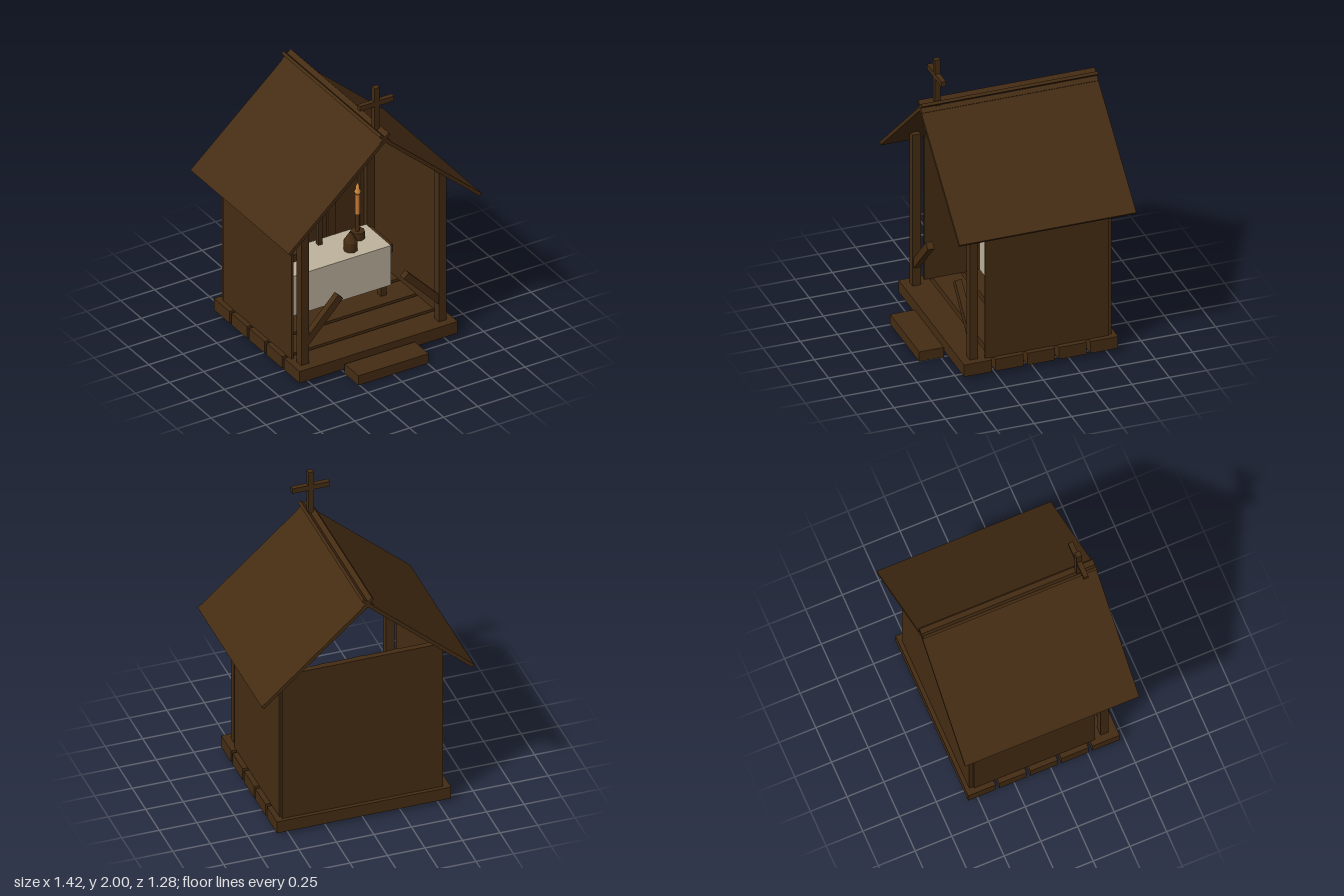
import * as THREE from 'three';

export function createModel() {
  const root = new THREE.Group();
  const mat = (name, color, extra = {}) => {
    const m = new THREE.MeshStandardMaterial({ color, ...extra });
    m.name = name;
    return m;
  };
  const wood = mat('dark wood', 0x452c13);
  const linen = mat('linen', 0xbfb39d);
  const wax = mat('candle wax', 0xc47a36);
  const flame = mat('flame', 0xd08a3c);

  const add = (name, geo, material, x = 0, y = 0, z = 0, parent = root) => {
    const m = new THREE.Mesh(geo, material);
    m.name = name;
    m.position.set(x, y, z);
    parent.add(m);
    return m;
  };
  // Box given by its minimum and maximum on each axis
  const box = (name, x0, x1, y0, y1, z0, z1, material = wood, parent = root) =>
    add(name, new THREE.BoxGeometry(x1 - x0, y1 - y0, z1 - z0), material,
      (x0 + x1) / 2, (y0 + y1) / 2, (z0 + z1) / 2, parent);

  // Floor planks and entrance step
  for (let i = 0; i < 5; i++) {
    const z = 0.373 - i * 0.2115;
    box('floorPlank', -0.58, 0.58, 0.025, 0.11, z - 0.093, z + 0.093);
  }
  box('step', -0.257, 0.257, 0, 0.07, 0.48, 0.645);

  // Back wall with its inner frame
  box('backWall', -0.535, 0.535, 0.105, 1.19, -0.54, -0.51);
  for (const x of [-0.24, 0, 0.24]) box('backStud', x - 0.028, x + 0.028, 0.11, 1.185, -0.51, -0.49);
  box('topRail', -0.476, 0.476, 1.15, 1.185, -0.51, -0.494);
  box('bottomRail', -0.476, 0.476, 0.11, 0.135, -0.51, -0.494);

  for (const s of [-1, 1]) {
    // Corner posts and side walls
    for (const z of [0.383, -0.482])
      add('cornerPost', new THREE.BoxGeometry(0.057, 1.18, 0.055), wood, s * 0.505, 0.605, z);
    add('sideWall', new THREE.BoxGeometry(0.016, 1.035, 0.825), wood, s * 0.538, 0.6225, -0.1);
    add('edgeStud', new THREE.BoxGeometry(0.032, 1.075, 0.02), wood, s * 0.46, 0.6475, -0.5);

    // Slanted front brace
    const brace = add('frontBrace', new THREE.BoxGeometry(0.375, 0.05, 0.045), wood, s * 0.37, 0.385, 0.383);
    brace.rotation.z = -s * 0.807;

    // Roof slope and ridge cap board
    const slope = Math.atan2(0.62, 0.7);
    const roof = add('roofPanel', new THREE.BoxGeometry(0.935, 0.024, 1.185), wood, s * 0.35, 1.355, -0.0475);
    roof.rotation.z = -s * slope;
    const cap = add('ridgeCap', new THREE.BoxGeometry(0.09, 0.02, 1.183), wood, 0, 1.675, -0.0475);
    cap.rotation.z = -s * slope;
  }

  // Cross made of two bars
  const cross = (name, z, y0, y1, armY, half, t) => {
    const g = new THREE.Group();
    g.name = name;
    box('upright', -t, t, y0, y1, z - t, z + t, wood, g);
    box('arm', -half, half, armY - t, armY + t, z - t * 0.9, z + t * 0.9, wood, g);
    root.add(g);
  };
  cross('roofCross', 0.431, 1.66, 2, 1.883, 0.125, 0.018);
  cross('altarCross', -0.25, 0.485, 0.95, 0.798, 0.13, 0.014);

  // Altar table with cloth
  box('altarTop', -0.4, 0.4, 0.425, 0.482, -0.275, -0.02);
  for (const x of [-0.345, 0.345])
    for (const z of [-0.06, -0.24]) box('altarLeg', x - 0.02, x + 0.02, 0.11, 0.43, z - 0.02, z + 0.02);
  box('altarCloth', -0.375, 0.375, 0.2, 0.49, -0.3, 0, linen);

  // Candles: holder, stem, wax and flame
  const lathe = (pts, n) => new THREE.LatheGeometry(pts.map(([r, y]) => new THREE.Vector2(r, y)), n);
  for (const s of [-1, 1]) {
    const g = new THREE.Group();
    g.name = 'candle';
    g.position.set(s * 0.245, 0.49, -0.19);
    root.add(g);
    add('candleHolder', new THREE.CylinderGeometry(0.047, 0.047, 0.052, 8), wood, 0, 0.026, 0, g);
    add('candleStem', new THREE.CylinderGeometry(0.013, 0.013, 0.13, 8), wood, 0, 0.115, 0, g);
    add('candleWax', new THREE.CylinderGeometry(0.016, 0.016, 0.145, 12), wax, 0, 0.25, 0, g);
    add('candleFlame', lathe([[0, 0.32], [0.02, 0.328], [0.022, 0.342], [0.013, 0.358],
      [0.014, 0.375], [0.007, 0.392], [0, 0.412]], 10), flame, 0, 0, 0, g);
  }

  // Small lidded vessel on the altar
  add('vesselBody', new THREE.CylinderGeometry(0.046, 0.046, 0.065, 8), wood, 0.133, 0.5225, -0.09);
  add('vesselLid', new THREE.ConeGeometry(0.046, 0.075, 8), wood, 0.133, 0.5925, -0.09);

  return root;
}
